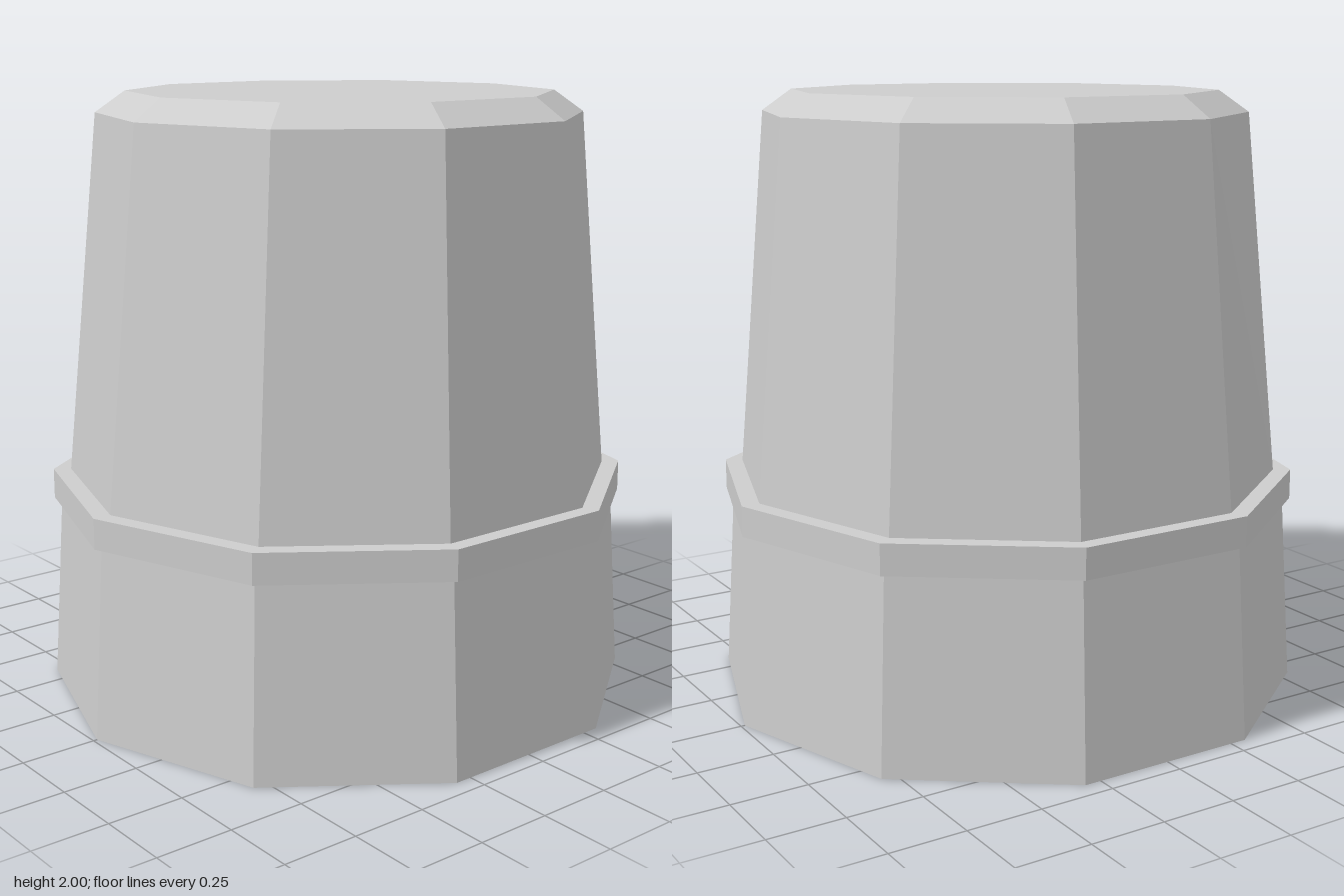
import * as THREE from 'three';

const SIDES = 10;

// Faceted skin through decagon levels [y, x radius, z radius, x shift], listed from bottom to top
function loft(levels) {
  const point = ([y, rx, rz, shift = 0], i) => {
    const a = (i / SIDES) * Math.PI * 2;
    return [shift + rx * Math.cos(a), y, rz * Math.sin(a)];
  };
  const pos = [];
  for (let l = 0; l < levels.length - 1; l++) {
    const low = levels[l], high = levels[l + 1];
    for (let i = 0; i < SIDES; i++) {
      const b0 = point(low, i), b1 = point(low, i + 1);
      const t0 = point(high, i), t1 = point(high, i + 1);
      if (high[1] > 0) pos.push(...b0, ...t0, ...t1);
      if (low[1] > 0) pos.push(...b0, ...t1, ...b1);
    }
  }
  const geo = new THREE.BufferGeometry();
  geo.setAttribute('position', new THREE.Float32BufferAttribute(pos, 3));
  geo.computeVertexNormals();
  return geo;
}

export function createModel() {
  const model = new THREE.Group();
  model.name = 'thimble';
  const metal = new THREE.MeshStandardMaterial({ color: 0xcccccc, flatShading: true });
  metal.name = 'pale grey';

  const parts = {
    // closed underside and flared skirt
    lowerBody: [[0, 0, 0], [0, 0.987, 0.988], [0.63, 0.947, 0.946]],
    // raised band with its two narrow ledges
    band: [[0.63, 0.947, 0.946], [0.63, 0.972, 0.971], [0.73, 0.972, 0.971], [0.73, 0.912, 0.915]],
    // tapering wall, leaning very slightly sideways
    upperBody: [[0.73, 0.912, 0.915], [1.93, 0.795, 0.813, 0.008]],
    // bevelled rim and flat top
    crown: [[1.93, 0.795, 0.813, 0.008], [2, 0.697, 0.713, 0.008], [2, 0, 0, 0.008]],
  };
  for (const [name, levels] of Object.entries(parts)) {
    const mesh = new THREE.Mesh(loft(levels), metal);
    mesh.name = name;
    model.add(mesh);
  }
  return model;
}
